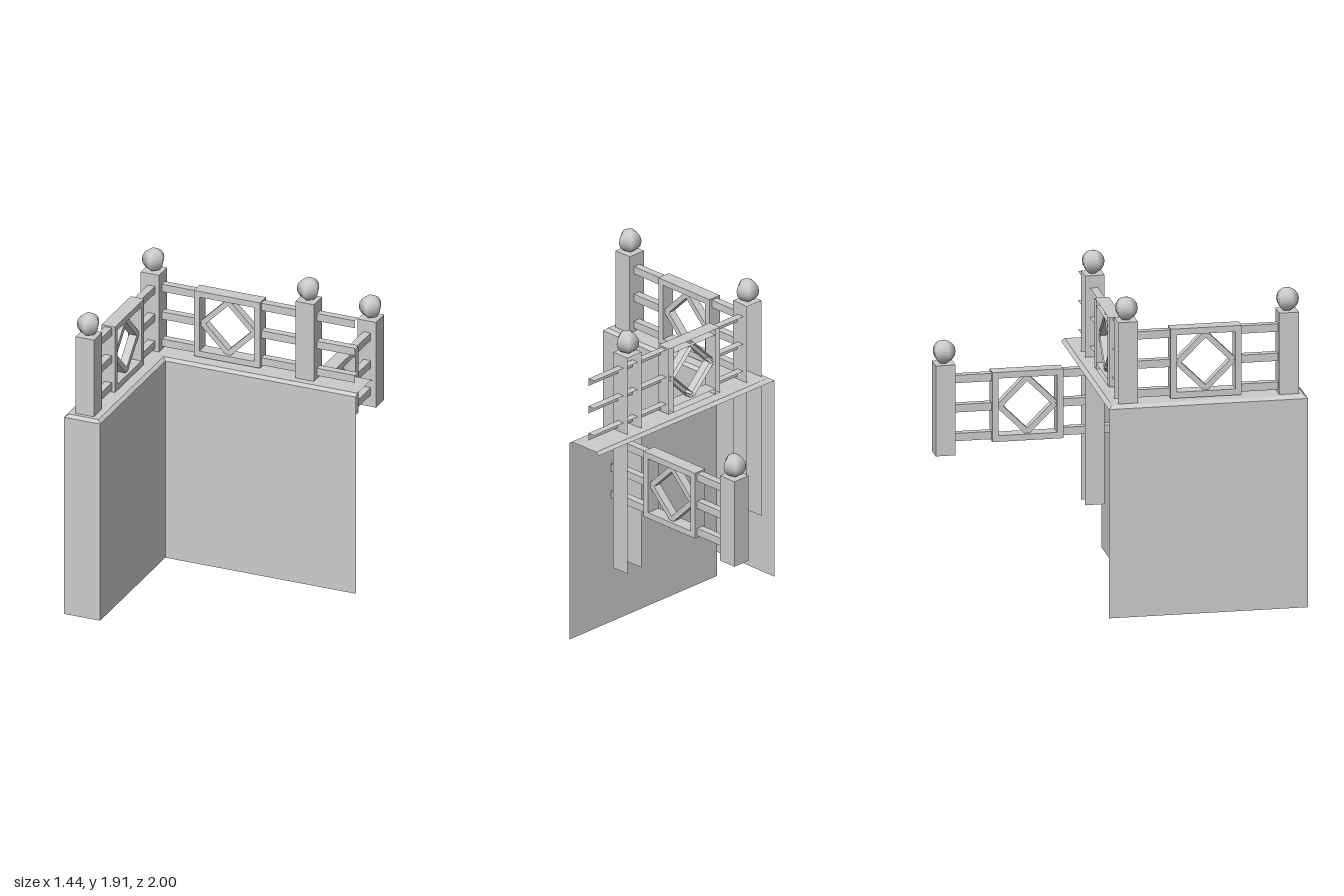
import * as THREE from 'three';

const mat = new THREE.MeshStandardMaterial({ color: 0xcccccc, side: THREE.DoubleSide });
const FACES = ['px', 'nx', 'py', 'ny', 'pz', 'nz'];

function add(parent, name, geo, x = 0, y = 0, z = 0) {
  const mesh = new THREE.Mesh(geo, mat);
  mesh.name = name;
  mesh.position.set(x, y, z);
  parent.add(mesh);
  return mesh;
}

// Box with some of its faces left out
function openBox(w, h, d, omit = []) {
  const geo = new THREE.BoxGeometry(w, h, d);
  const index = [...geo.index.array];
  geo.setIndex(FACES.flatMap((f, i) => (omit.includes(f) ? [] : index.slice(i * 6, i * 6 + 6))));
  geo.clearGroups();
  return geo;
}

// Square post with a five-sided ball on top
function post(parent, name, x, z, bottom, top, omit) {
  const g = new THREE.Group();
  g.name = name;
  parent.add(g);
  add(g, 'postShaft', openBox(0.117, top - bottom, 0.117, omit), x, (top + bottom) / 2, z);
  const ball = add(g, 'postBall', new THREE.SphereGeometry(0.07, 5, 8), x, top + 0.067, z);
  ball.rotation.y = Math.PI / 2;
}

// Three rails running from a to b with a framed diamond in the middle
function railing(parent, name, a, b, openBack) {
  const g = new THREE.Group();
  g.name = name;
  parent.add(g);
  const omit = openBack ? ['nz'] : [];
  const half = 0.21, bar = 0.037;
  for (const y of [-0.174, 0, 0.177]) {
    for (const [p, q] of [[a, -half], [half, b]]) {
      add(g, 'rail', openBox(q - p, 0.047, 0.046, openBack ? ['nz', 'ny', 'px', 'nx'] : ['px', 'nx']),
        (p + q) / 2, y, 0);
    }
  }
  for (const s of [-1, 1]) {
    add(g, 'frameSide', openBox(bar, 2 * half, 0.085, omit), s * (half - bar / 2), 0, 0);
    add(g, 'frameBar', openBox(2 * (half - bar), bar, 0.085, omit), 0, s * (half - bar / 2), 0);
  }
  // Diamond bars
  for (let i = 0; i < 4; i++) {
    const t = Math.PI / 4 + i * Math.PI / 2;
    const r = 0.117;
    const m = add(g, 'diamondBar', openBox(0.032, 0.236, 0.05, omit), r * Math.cos(t), r * Math.sin(t), 0);
    m.rotation.z = t;
  }
  return g;
}

// Surface of quads between two lines of points
function strip(lower, upper) {
  const pos = [];
  for (let i = 0; i < lower.length - 1; i++) {
    const [a, b, c, d] = [lower[i], lower[i + 1], upper[i + 1], upper[i]];
    pos.push(...a, ...b, ...c, ...a, ...c, ...d);
  }
  const geo = new THREE.BufferGeometry();
  geo.setAttribute('position', new THREE.Float32BufferAttribute(pos, 3));
  geo.computeVertexNormals();
  return geo;
}

export function createModel() {
  const model = new THREE.Group();
  model.name = 'corner wall with railings';

  // L-shaped wall, open at the back and at the far end
  const plan = [[-0.72, -0.18], [-0.72, 1], [-0.49, 1], [-0.49, 0.065], [0.72, 0.065]];
  const inset = [[-0.695, -0.155], [-0.695, 0.98], [-0.51, 0.98], [-0.51, 0.045], [0.72, 0.045]];
  const at = (pts, y) => pts.map(([x, z]) => [x, y, z]);
  add(model, 'wall', strip(at(plan, 0), at(plan, 1.263)));
  add(model, 'copingBevel', strip(at(plan, 1.263), at(inset, 1.28)));
  add(model, 'copingBackBevel', strip(
    [[0.72, 1.263, -0.175], [-0.72, 1.263, -0.18]], [[0.72, 1.28, -0.155], [-0.695, 1.28, -0.155]]));

  // Flat top of the wall
  const top = new THREE.ShapeGeometry(new THREE.Shape(
    [...inset, [0.72, -0.155]].map(([x, z]) => new THREE.Vector2(x, -z))));
  add(model, 'copingTop', top.rotateX(-Math.PI / 2), 0, 1.28, 0);

  // Posts
  post(model, 'cornerPost', -0.617, -0.058, 0.385, 1.772, ['nz', 'ny']);
  post(model, 'middlePost', 0.367, -0.058, 0.385, 1.772, ['nz', 'ny']);
  post(model, 'endPost', -0.607, 0.898, 1.27, 1.772, []);
  post(model, 'lowerPost', 0.37, -0.94, 0.73, 1.277, []);

  // Railings: along the main wall, along the side wall, and the lower one behind
  railing(model, 'mainRailing', -0.42, 0.805, true).position.set(-0.137, 1.497, -0.063);
  const side = railing(model, 'sideRailing', -0.435, 0.412, false);
  side.position.set(-0.607, 1.497, 0.41);
  const lower = railing(model, 'lowerRailing', -0.5, 0.44, false);
  lower.position.set(0.372, 1.002, -0.45);
  side.rotation.y = lower.rotation.y = Math.PI / 2;

  return model;
}
